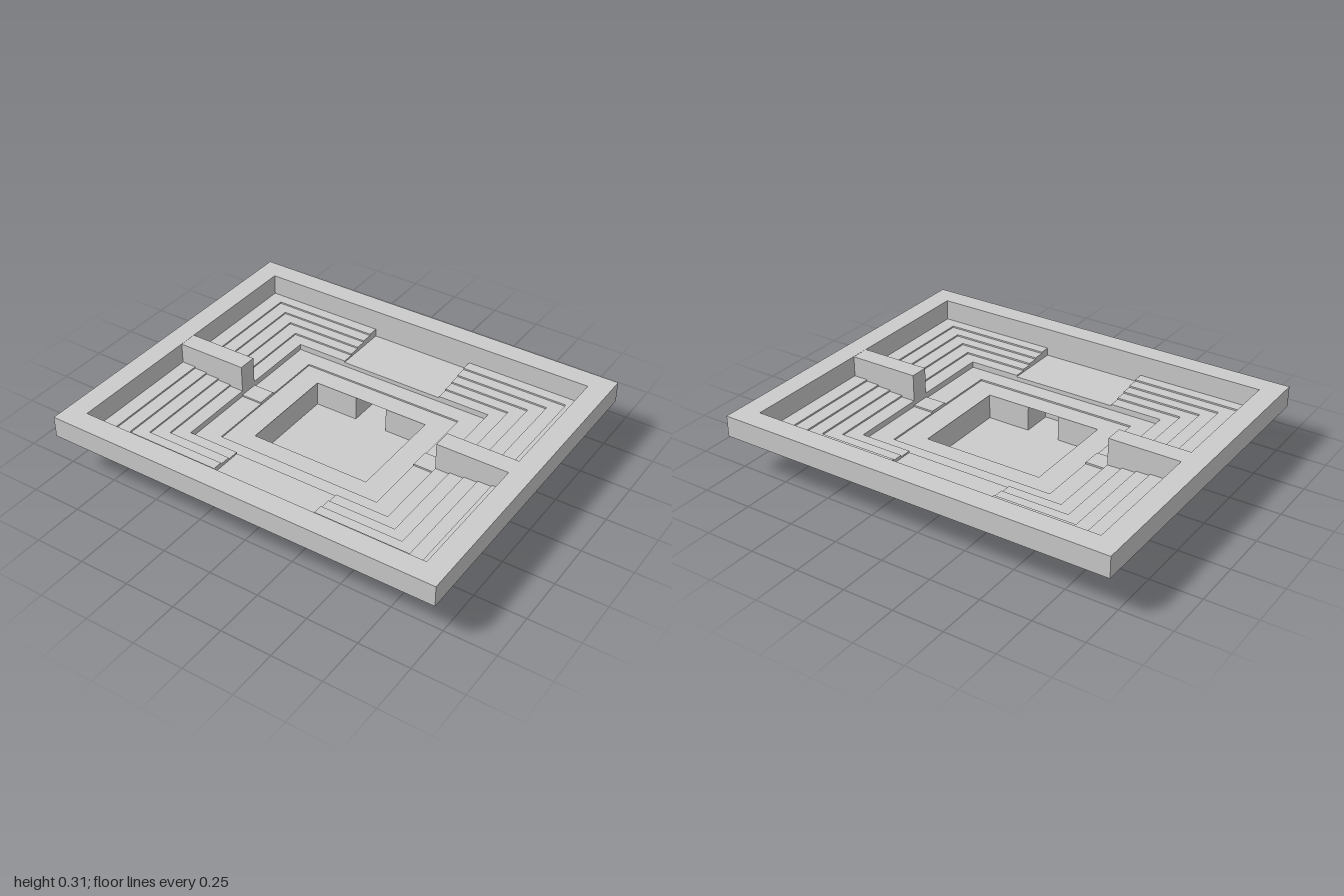
import * as THREE from 'three';

const mat = new THREE.MeshStandardMaterial({ color: 0xcccccc, side: THREE.DoubleSide, flatShading: true });

// Skin a list of cross-sections (arrays of [x, y, z]) with flat quads
function loft(rows, closed) {
  const pos = [];
  for (let r = 0; r < rows.length - 1; r++) {
    const a = rows[r], b = rows[r + 1], n = a.length;
    for (let i = 0; i < (closed ? n : n - 1); i++) {
      const j = (i + 1) % n;
      pos.push(...a[i], ...a[j], ...b[i], ...a[j], ...b[j], ...b[i]);
    }
  }
  const g = new THREE.BufferGeometry();
  g.setAttribute('position', new THREE.Float32BufferAttribute(pos, 3));
  g.computeVertexNormals();
  return g;
}

const rect = (x, z) => [[-x, -z], [x, -z], [x, z], [-x, z]];
const toShape = (pts) => new THREE.Shape(pts.map(([x, z]) => new THREE.Vector2(x, z)));
const atHeight = (pts, y) => pts.map(([x, z]) => [x, y, z]);

export function createModel() {
  const group = new THREE.Group();
  const add = (name, geometry, x = 0, y = 0, z = 0) => {
    const mesh = new THREE.Mesh(geometry, mat);
    mesh.name = name;
    mesh.position.set(x, y, z);
    group.add(mesh);
    return mesh;
  };
  const rimX = 0.895, rimZ = 0.725, landX = 0.27, landY = 0.16, landZ = 0.44;

  // Outer rim wall
  const rimShape = toShape(rect(1, 0.83));
  rimShape.holes.push(toShape(rect(rimX, rimZ)));
  const rim = new THREE.ExtrudeGeometry(rimShape, { depth: 0.105, bevelEnabled: false });
  add('rim', rim.rotateX(-Math.PI / 2), 0, 0.2, 0);

  // Descending terraces, one C-shaped flight per side, with end walls at the landings
  const edges = [[rimX, rimZ], [0.82, 0.67], [0.75, 0.612], [0.68, 0.557], [0.608, 0.5], [0.535, landZ]];
  for (const s of [1, -1]) {
    const rows = [];
    const row = ([x, z], y) => rows.push([
      [s * landX, landY, -z], [s * landX, y, -z], [s * x, y, -z],
      [s * x, y, z], [s * landX, y, z], [s * landX, landY, z],
    ]);
    for (let i = 0; i < 5; i++) {
      const y = 0.2 - i * 0.008;
      row(edges[i], y);
      row(edges[i + 1], y);
    }
    row(edges[5], landY);
    add(s > 0 ? 'leftTerraces' : 'rightTerraces', loft(rows, false));
  }

  // Sunken landings at front and back
  for (const s of [1, -1]) {
    const profile = [[0.2, rimZ], [landY, rimZ], [landY, landZ]];
    add(s > 0 ? 'frontLanding' : 'backLanding',
      loft(profile.map(([y, z]) => [[-landX, y, s * z], [landX, y, s * z]]), false));
  }

  // Inner court and ledge around the pit
  const court = [
    [0.535, landZ, landY], [0.535, landZ, 0.138], [0.425, 0.355, 0.138],
    [0.425, 0.355, 0.13], [0.305, 0.255, 0.13],
  ];
  add('innerCourt', loft(court.map(([x, z, y]) => atHeight(rect(x, z), y)), true));

  // Pit with an alcove under the ledge at front and back
  const px = 0.31, pz = 0.26, ax = 0.085, az = 0.418;
  const pit = [
    [-px, -pz], [-ax, -pz], [-ax, -az], [ax, -az], [ax, -pz], [px, -pz],
    [px, pz], [ax, pz], [ax, az], [-ax, az], [-ax, pz], [-px, pz],
  ];
  add('pitWalls', loft([atHeight(pit, 0.13), atHeight(pit, 0)], true));
  add('pitFloor', new THREE.ShapeGeometry(toShape(pit)).rotateX(-Math.PI / 2));
  for (const s of [1, -1]) {
    add('alcoveCeiling', new THREE.PlaneGeometry(2 * ax, az - pz).rotateX(-Math.PI / 2),
      0, 0.129, s * (az + pz) / 2);
  }

  // Side piers running in from the rim, each with a low step at its foot
  for (const s of [1, -1]) {
    add('sidePier', new THREE.BoxGeometry(0.375, 0.159, 0.095), s * 0.7225, 0.2245, -0.004);
    add('pierStep', new THREE.BoxGeometry(0.11, 0.012, 0.1), s * 0.48, 0.14, -0.004);
  }
  return group;
}
